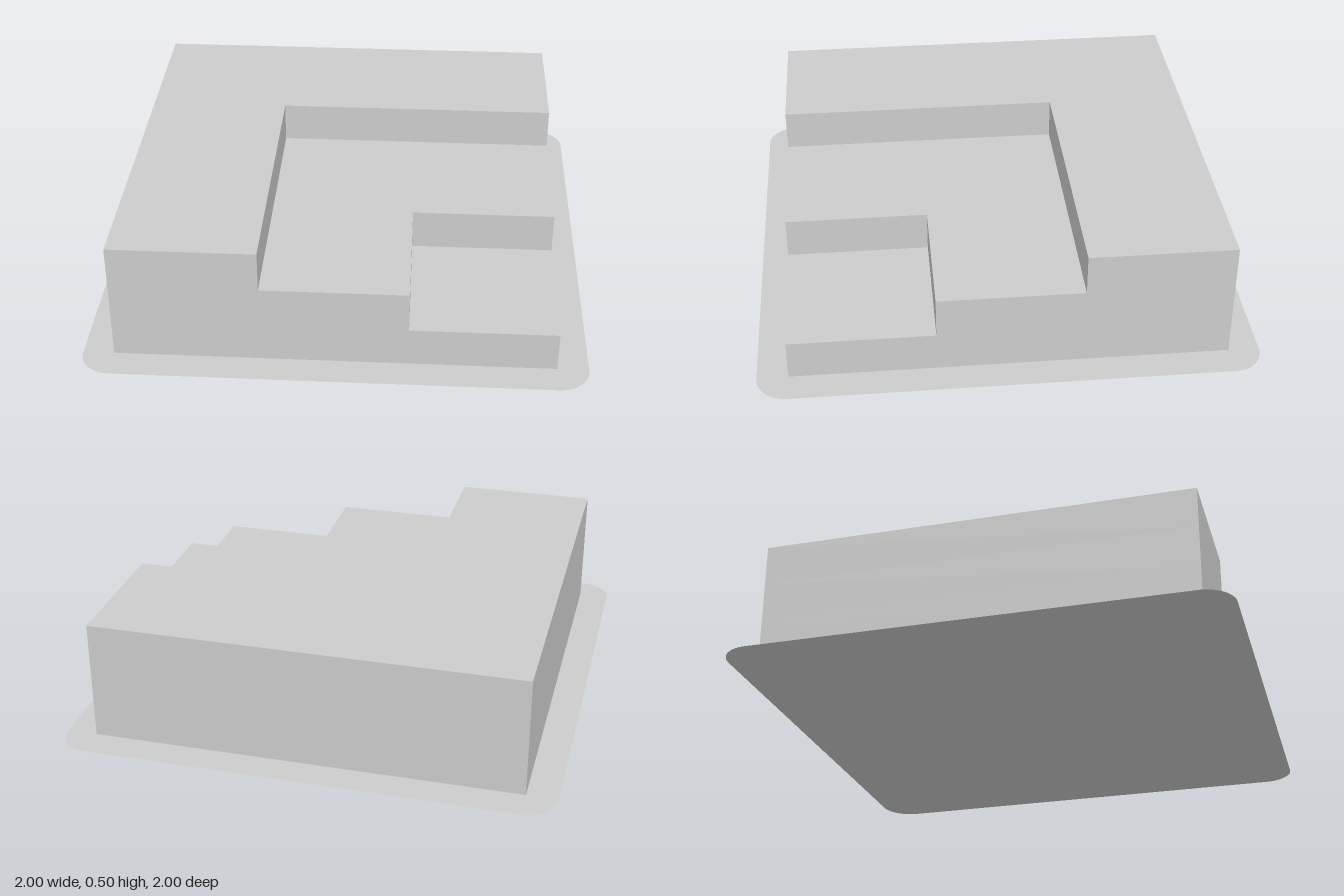
import * as THREE from 'three';

const HALF = 0.875;       // half width of the stepped block
const TIER = 0.5 / 3;     // height of one step
const GAP = 0.004;        // keeps the block's underside clear of the sheet

// Square outline, optionally with its front-left corner cut away from `notch` outwards.
function tierShape(notch) {
  const points = notch === null
    ? [[-HALF, -HALF], [HALF, -HALF], [HALF, HALF], [-HALF, HALF]]
    : [[-HALF, -HALF], [notch, -HALF], [notch, -notch], [HALF, -notch], [HALF, HALF], [-HALF, HALF]];
  return new THREE.Shape(points.map(([x, y]) => new THREE.Vector2(x, y)));
}

function roundedSquare(half, radius) {
  const c = half - radius;
  const shape = new THREE.Shape();
  shape.absarc(c, c, radius, 0, Math.PI / 2);
  shape.absarc(-c, c, radius, Math.PI / 2, Math.PI);
  shape.absarc(-c, -c, radius, Math.PI, Math.PI * 1.5);
  shape.absarc(c, -c, radius, Math.PI * 1.5, Math.PI * 2);
  shape.closePath();
  return shape;
}

export function createModel() {
  const model = new THREE.Group();
  model.name = 'steppedBlock';
  const material = new THREE.MeshStandardMaterial({ color: 0xcccccc });

  // Paper-thin base sheet with rounded corners
  const sheet = new THREE.Mesh(
    new THREE.ShapeGeometry(roundedSquare(1, 0.125), 12).rotateX(-Math.PI / 2),
    new THREE.MeshStandardMaterial({ color: 0xcccccc, side: THREE.DoubleSide })
  );
  sheet.name = 'baseSheet';
  model.add(sheet);

  // Three stacked tiers: a full square, then two L shapes
  const tiers = [['lowerTier', null], ['middleTier', HALF / 3], ['upperTier', -HALF / 3]];
  tiers.forEach(([name, notch], i) => {
    const bottom = i === 0 ? GAP : i * TIER;
    const geometry = new THREE.ExtrudeGeometry(tierShape(notch), {
      depth: (i + 1) * TIER - bottom, bevelEnabled: false
    }).rotateX(-Math.PI / 2);
    const tier = new THREE.Mesh(geometry, material);
    tier.name = name;
    tier.position.y = bottom;
    model.add(tier);
  });

  return model;
}
